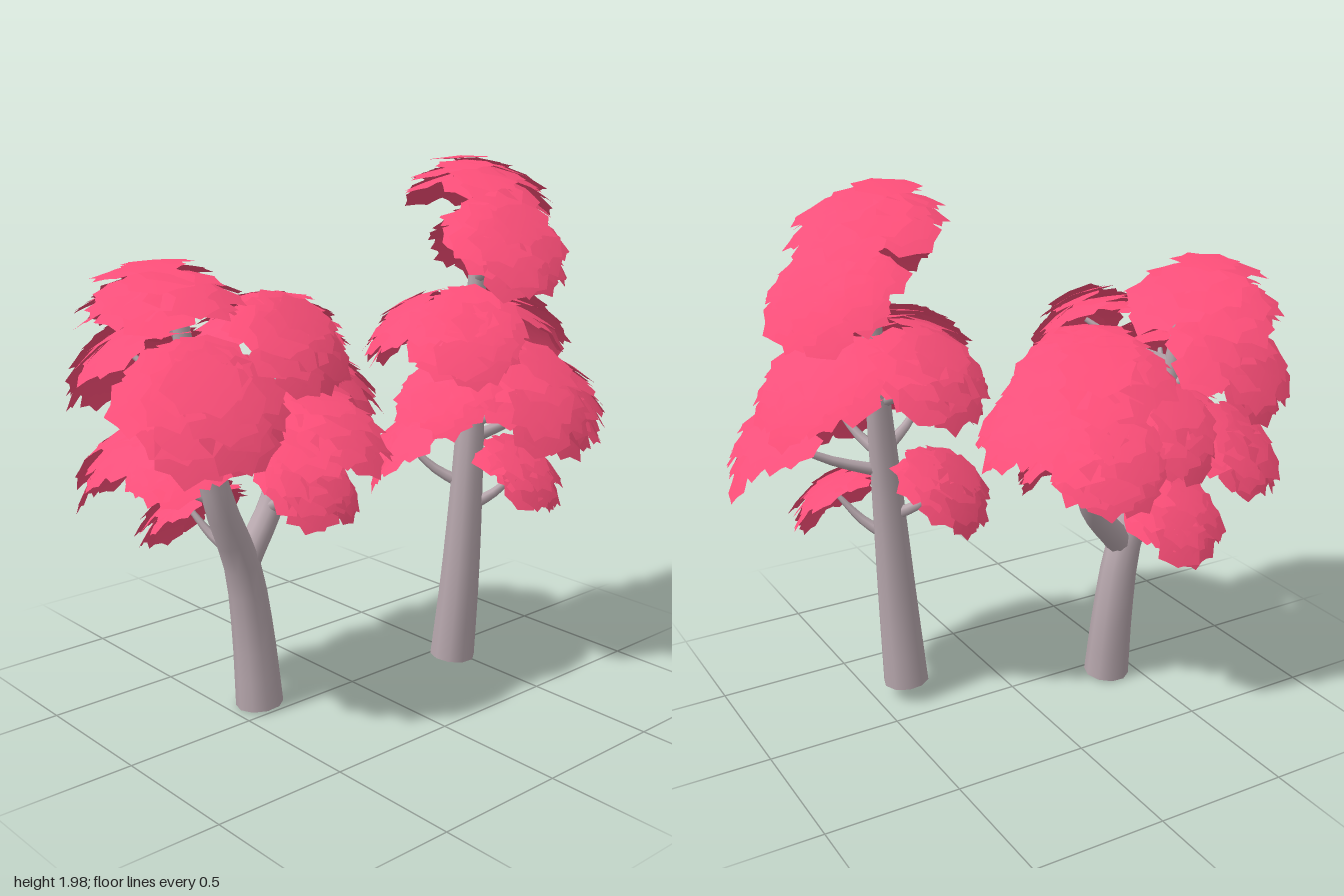
import * as THREE from 'three';
import { mergeGeometries } from 'three/addons/utils/BufferGeometryUtils.js';

const bark = new THREE.MeshStandardMaterial({ color: 0xb8a8ae, side: THREE.DoubleSide });
const foliage = new THREE.MeshStandardMaterial({ color: 0xff4f7a, side: THREE.DoubleSide });
const V = (x, y, z) => new THREE.Vector3(x, y, z);

let seed = 7;
const rand = () => (seed = (seed * 16807) % 2147483647) / 2147483647;

// Tube along a curve, narrowing from radius r0 to r1
function limb(name, points, r0, r1, sides = 10, steps = 14) {
  const curve = new THREE.CatmullRomCurve3(points);
  const geo = new THREE.TubeGeometry(curve, steps, 1, sides);
  const pos = geo.attributes.position, v = V(0, 0, 0);
  for (let i = 0; i < pos.count; i++) {
    const t = Math.floor(i / (sides + 1)) / steps;
    const c = curve.getPointAt(t);
    v.fromBufferAttribute(pos, i).sub(c).multiplyScalar(r0 + (r1 - r0) * t).add(c);
    pos.setXYZ(i, v.x, v.y, v.z);
  }
  const mesh = new THREE.Mesh(geo, bark);
  mesh.name = name;
  return mesh;
}

// One ragged, almost flat leaf: y is its normal, z points to its tip
function leaf(size) {
  const n = 14, pos = [0, 0, 0], index = [];
  for (let i = 0; i < n; i++) {
    const a = ((i + rand() * 0.4) / n) * Math.PI * 2;
    const r = size * (i % 2 ? 0.82 : 1) * (0.9 + rand() * 0.2);
    pos.push(Math.sin(a) * r, -0.08 * r, Math.cos(a) * r);
    index.push(0, i + 1, ((i + 1) % n) + 1);
  }
  const geo = new THREE.BufferGeometry();
  geo.setAttribute('position', new THREE.Float32BufferAttribute(pos, 3));
  geo.setIndex(index);
  geo.computeVertexNormals();
  return geo;
}

// Dome of leaves stacked like shingles, tilted so that its crown faces (dx, up, dz)
function leafClump([x, y, z, dx, dz, size = 1]) {
  const count = 30, R = 0.225 * size, H = 0.205 * size, parts = [];
  for (let i = 0; i < count; i++) {
    const theta = Math.sqrt(i / (count - 1)) * 1.3;
    const phi = i * 2.39996 + rand() * 0.4;
    const depth = 0.84 + rand() * 0.18;
    const out = V(Math.cos(phi), 0, Math.sin(phi));
    const normal = V(0, Math.cos(theta * 0.42), 0).addScaledVector(out, Math.sin(theta * 0.42));
    const side = V(0, 1, 0).cross(out).normalize();
    const tip = side.clone().cross(normal);
    const m = new THREE.Matrix4().makeBasis(side, normal, tip);
    const r = R * depth * Math.sin(theta);
    m.setPosition(out.x * r, H * (depth * Math.cos(theta) - 0.5), out.z * r);
    parts.push(leaf((0.11 + rand() * 0.035) * size).applyMatrix4(m));
  }
  const mesh = new THREE.Mesh(mergeGeometries(parts), foliage);
  mesh.name = 'leafClump';
  mesh.position.set(x, y, z);
  mesh.quaternion.setFromUnitVectors(V(0, 1, 0), V(dx, 0.75, dz).normalize());
  return mesh;
}

// Branch from a limb up to the underside of a clump
function branch([x, y, z, dx, dz], from) {
  const end = V(x - dx * 0.05, y - 0.02, z - dz * 0.05);
  const mid = from.clone().lerp(end, 0.55);
  mid.y -= 0.02;
  return limb('branch', [from, mid, end], 0.026, 0.01, 7, 6);
}

// Point on a polyline at a given height
function atHeight(path, y) {
  for (let i = 1; i < path.length; i++) {
    const a = path[i - 1], b = path[i];
    if (y <= b.y) return a.clone().lerp(b, Math.max(0, (y - a.y) / (b.y - a.y)));
  }
  return path[path.length - 1].clone();
}

function tree(name, limbs, clumps) {
  const group = new THREE.Group();
  group.name = name;
  for (const l of limbs) group.add(limb(l.name, l.path, l.r0, l.r1));
  for (const c of clumps) {
    // start on whichever limb is nearer
    const starts = limbs.map((l) => atHeight(l.path, c[1] - 0.17));
    const at = V(c[0], c[1], c[2]);
    starts.sort((a, b) => a.distanceTo(at) - b.distanceTo(at));
    group.add(branch(c, starts[0]), leafClump(c));
  }
  return group;
}

export function createModel() {
  const model = new THREE.Group();
  model.name = 'blossomTrees';

  // Clumps: x, y, z, then the sideways lean of the crown, then size
  model.add(tree('forkedTree', [
    { name: 'trunk', r0: 0.088, r1: 0.028, path: [V(-0.385, 0.005, -0.085), V(-0.4, 0.3, -0.1),
      V(-0.44, 0.55, -0.1), V(-0.54, 0.8, -0.09), V(-0.605, 1.1, -0.11), V(-0.65, 1.52, -0.16)] },
    { name: 'fork', r0: 0.055, r1: 0.025, path: [V(-0.43, 0.56, -0.1), V(-0.25, 0.78, -0.15),
      V(-0.17, 1.1, -0.2), V(-0.14, 1.4, -0.3)] },
  ], [
    [-0.69, 1.56, -0.2, 0, -0.05, 1.02],
    [-0.73, 1.27, 0.12, -0.15, 0.55, 0.98],
    [-0.38, 1.43, 0.14, 0.1, 0.55, 0.8],
    [-0.13, 1.4, -0.33, 0.05, -0.1, 1],
    [0.02, 1.19, -0.16, 0.45, 0.1, 0.82],
    [-0.23, 1.09, 0.09, 0.1, 0.2, 0.95],
    [-0.27, 0.9, 0.1, 0.1, 0.55, 0.7],
    [-0.54, 0.76, -0.31, -0.15, -0.55, 0.74],
    [-0.78, 0.99, -0.33, -0.3, -0.5, 0.78],
    [-0.73, 1.35, -0.36, -0.2, -0.5, 0.9],
    [-0.16, 1.09, -0.4, 0.15, -0.55, 0.8],
    [-0.46, 1.13, -0.32, -0.1, -0.5, 0.85],
    [-0.77, 1.06, 0.0, -0.35, 0.05, 0.74],
  ]));

  model.add(tree('tallTree', [
    { name: 'trunk', r0: 0.087, r1: 0.022, path: [V(0.38, 0.06, 0.165), V(0.395, 0.4, 0.185),
      V(0.42, 0.85, 0.19), V(0.455, 1.3, 0.175), V(0.475, 1.87, 0.17)] },
  ], [
    [0.49, 1.89, 0.16, 0.15, 0, 0.95],
    [0.4, 1.71, 0.4, -0.05, 0.55, 0.88],
    [0.67, 1.67, 0.07, 0.45, -0.25, 0.86],
    [0.23, 1.4, 0.34, -0.35, 0.4, 0.78],
    [0.73, 1.36, 0.1, 0.5, -0.1, 0.88],
    [0.33, 1.37, -0.03, -0.2, -0.4, 0.82],
    [0.53, 1.16, 0.41, 0.05, 0.55, 1],
    [0.8, 1.1, 0.31, 0.45, 0.25, 0.87],
    [0.57, 0.83, 0.35, 0.25, 0.55, 0.67],
    [0.25, 0.92, 0.0, -0.4, -0.5, 0.68],
    [0.2, 1.18, 0.28, -0.4, 0.15, 0.7],
  ]));
  return model;
}
